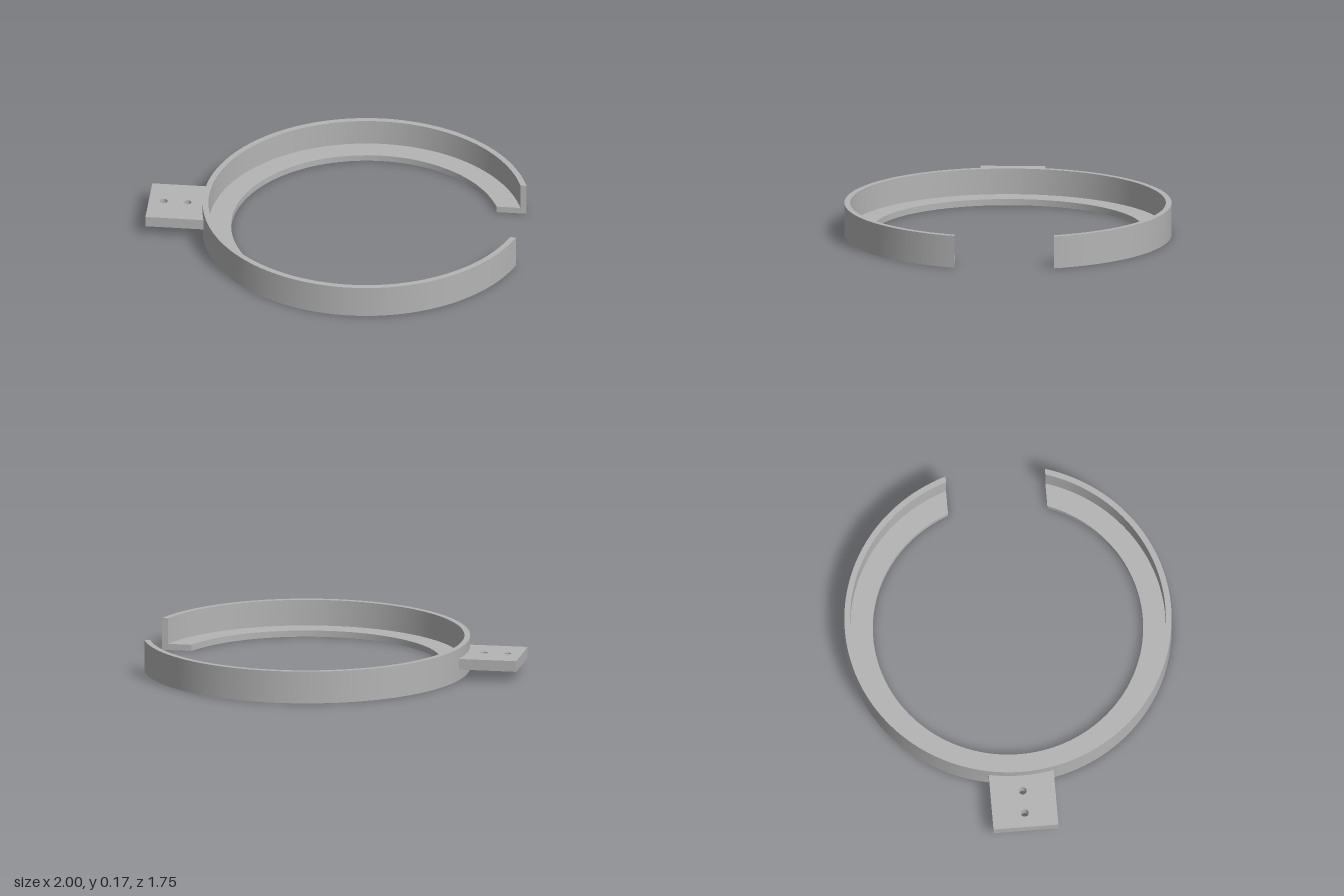
import * as THREE from 'three';
import { mergeGeometries } from 'three/addons/utils/BufferGeometryUtils.js';

const CX = 0.168;           // ring centre
const OUTER = 0.874;        // outer radius
const GAP = 0.266;          // half width of the opening
const SEGMENTS = 128;

// L-shaped cross-section: radius, height (floor lip and upright wall)
const PROFILE = [
  [0.722, 0], [OUTER, 0], [OUTER, 0.174],
  [0.843, 0.174], [0.843, 0.034], [0.722, 0.034],
];

// One strip swept around the ring; its ends stop on the straight cut at z = ±GAP
function sweep([r0, y0], [r1, y1]) {
  const geo = new THREE.PlaneGeometry(1, 1, SEGMENTS, 1);
  const pos = geo.attributes.position;
  for (let i = 0; i < pos.count; i++) {
    const u = pos.getX(i) + 0.5, v = pos.getY(i) + 0.5;
    const r = r0 + (r1 - r0) * v;
    const start = Math.asin(GAP / r);
    const a = start + (1 - u) * 2 * (Math.PI - start);
    pos.setXYZ(i, CX + r * Math.cos(a), y0 + (y1 - y0) * v, r * Math.sin(a));
  }
  geo.computeVertexNormals();
  return geo;
}

// Flat end face on one side of the opening
function endCap(side) {
  const points = PROFILE.map(([r, y]) =>
    new THREE.Vector2(-side * (CX + Math.sqrt(r * r - GAP * GAP)), y));
  const geo = new THREE.ShapeGeometry(new THREE.Shape(points));
  if (side > 0) geo.rotateY(Math.PI);
  return geo.translate(0, 0, side * GAP);
}

// Mounting tab with two screw holes and an end that follows the ring
function tabGeometry() {
  const half = 0.174;
  const a = Math.asin(half / (OUTER - 0.003));
  const shape = new THREE.Shape();
  shape.moveTo(-1, half);
  shape.lineTo(-1, -half);
  shape.absarc(CX, 0, OUTER - 0.003, Math.PI + a, Math.PI - a, true);
  shape.closePath();
  for (const x of [-0.92, -0.793]) {
    const hole = new THREE.Path();
    hole.absarc(x, 0, 0.021, 0, Math.PI * 2, true);
    shape.holes.push(hole);
  }
  const geo = new THREE.ExtrudeGeometry(shape, { depth: 0.058, bevelEnabled: false, curveSegments: 24 });
  return geo.rotateX(-Math.PI / 2).translate(0, 0.059, 0);
}

export function createModel() {
  const group = new THREE.Group();
  group.name = 'openRingHolder';
  const grey = new THREE.MeshStandardMaterial({ color: 0xb4b4b4 });
  grey.name = 'grey';

  const add = (name, geo) => {
    const mesh = new THREE.Mesh(geo, grey);
    mesh.name = name;
    group.add(mesh);
  };

  // Open ring with floor lip and wall
  const strips = PROFILE.map((p, i) => sweep(p, PROFILE[(i + 1) % PROFILE.length]));
  add('ring', mergeGeometries([...strips, endCap(1), endCap(-1)]));
  add('mountingTab', tabGeometry());
  return group;
}
